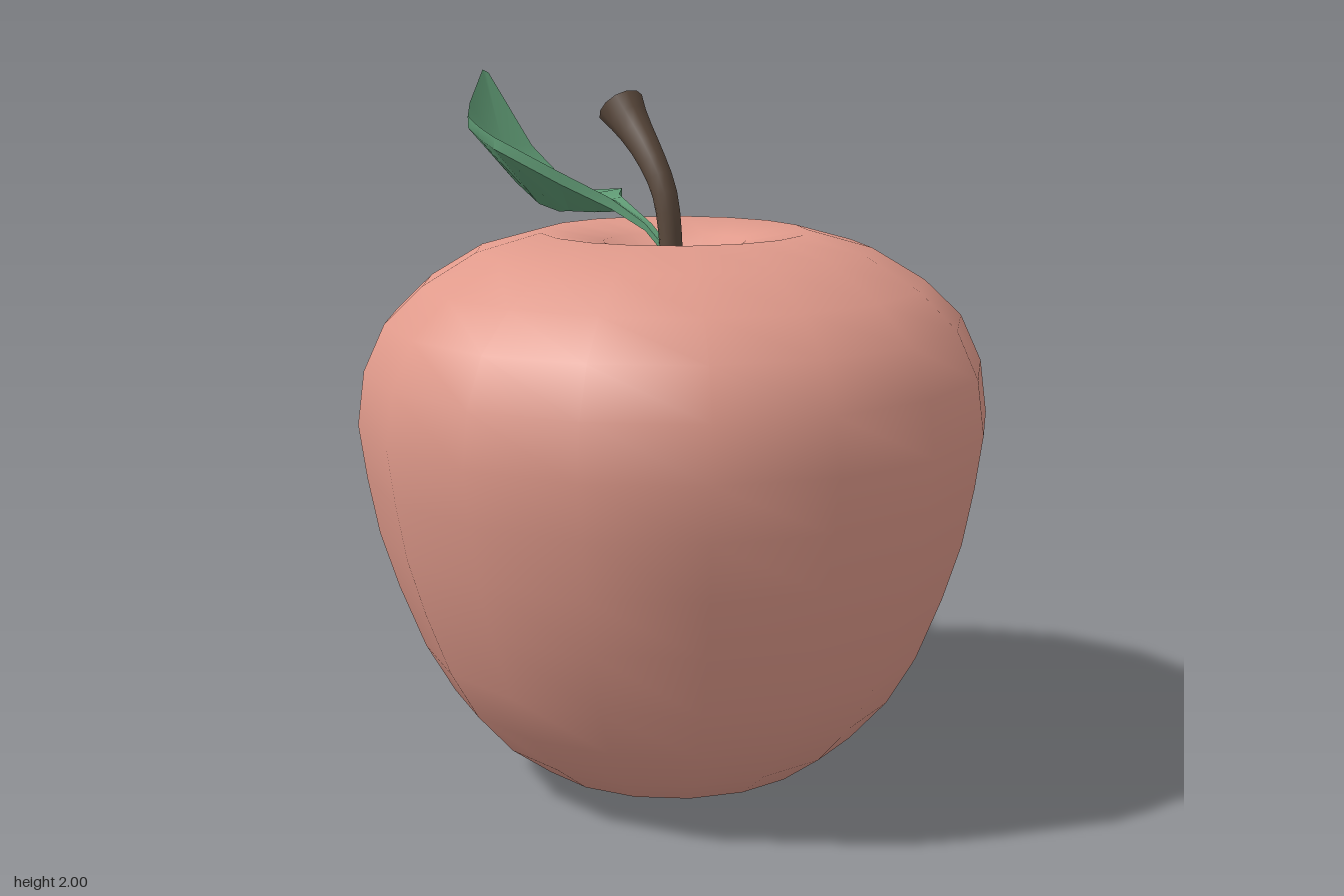
import * as THREE from 'three';
import { toCreasedNormals } from 'three/addons/utils/BufferGeometryUtils.js';

function addMesh(group, name, geometry, color) {
  const material = new THREE.MeshStandardMaterial({ color });
  const mesh = new THREE.Mesh(geometry, material);
  mesh.name = name;
  group.add(mesh);
  return mesh;
}

// Fruit: 17-sided lathe, from the underside up and over into the stem dimple
function fruitGeometry() {
  const profile = [
    [0, 0.005], [0.14, 0.005], [0.28, 0.02], [0.415, 0.06], [0.535, 0.15],
    [0.64, 0.27], [0.72, 0.41], [0.79, 0.59], [0.84, 0.75], [0.87, 0.91],
    [0.89, 1.06], [0.87, 1.21], [0.81, 1.34], [0.705, 1.44], [0.555, 1.53],
    [0.375, 1.58], [0.2, 1.55], [0.09, 1.45], [0, 1.39],
  ].map(([r, y]) => new THREE.Vector2(r, y));
  return new THREE.LatheGeometry(profile, 17, -0.02);
}

// Stem: bent tube whose rings are scaled so that it flares at the top
const stemPath = new THREE.CatmullRomCurve3([
  new THREE.Vector3(-0.02, 1.38, 0.03),
  new THREE.Vector3(-0.025, 1.58, 0.022),
  new THREE.Vector3(-0.033, 1.69, 0.002),
  new THREE.Vector3(-0.05, 1.79, -0.058),
  new THREE.Vector3(-0.075, 1.915, -0.178),
]);
const stemRadius = (t) => 0.029 + 0.011 * t + 0.028 * t ** 6;

function stemGeometry(steps, sides) {
  const geometry = new THREE.TubeGeometry(stemPath, steps, 1, sides);
  const pos = geometry.attributes.position;
  const v = new THREE.Vector3();
  for (let i = 0; i < pos.count; i++) {
    const t = Math.floor(i / (sides + 1)) / steps;
    const centre = stemPath.getPointAt(t);
    v.fromBufferAttribute(pos, i).sub(centre).multiplyScalar(stemRadius(t)).add(centre);
    pos.setXYZ(i, v.x, v.y, v.z);
  }
  geometry.computeVertexNormals();
  return geometry;
}

// Leaf: folded cross-sections (left edge, midrib, right edge) lofted backwards
function leafGeometry() {
  // z, thickness, left x/y, midrib x/y, right x/y
  const rows = [
    [0.0, 0.02, -0.045, 1.55, -0.035, 1.55, -0.025, 1.55],
    [-0.06, 0.02, -0.06, 1.595, -0.05, 1.595, -0.04, 1.595],
    [-0.22, 0.03, -0.09, 1.655, -0.07, 1.645, -0.05, 1.655],
    [-0.32, 0.035, -0.20, 1.725, -0.09, 1.64, -0.01, 1.655],
    [-0.43, 0.035, -0.33, 1.81, -0.12, 1.635, 0.055, 1.66],
    [-0.48, 0.035, -0.335, 1.82, -0.13, 1.63, 0.07, 1.655],
    [-0.58, 0.035, -0.34, 1.845, -0.15, 1.645, 0.04, 1.64],
    [-0.70, 0.035, -0.325, 1.87, -0.17, 1.70, -0.03, 1.69],
    [-0.78, 0.035, -0.285, 1.905, -0.18, 1.78, -0.08, 1.77],
    [-0.90, 0.03, -0.19, 2.0, -0.18, 1.995, -0.17, 1.99],
  ];
  const positions = [];
  const index = [];
  for (const [z, t, lx, ly, mx, my, rx, ry] of rows) {
    positions.push(lx, ly, z, mx, my, z, rx, ry, z);
    positions.push(rx, ry - t, z, mx, my - t, z, lx, ly - t, z);
  }
  for (let i = 0; i < rows.length - 1; i++) {
    for (let j = 0; j < 6; j++) {
      const a = i * 6 + j, b = i * 6 + ((j + 1) % 6);
      index.push(a, b, a + 6, b, b + 6, a + 6);
    }
  }
  // Close the tip
  const e = (rows.length - 1) * 6;
  index.push(e, e + 2, e + 3, e, e + 3, e + 5);
  const geometry = new THREE.BufferGeometry();
  geometry.setAttribute('position', new THREE.Float32BufferAttribute(positions, 3));
  geometry.setIndex(index);
  return toCreasedNormals(geometry, Math.PI / 4);
}

export function createModel() {
  const model = new THREE.Group();
  model.name = 'apple';

  addMesh(model, 'fruit', fruitGeometry(), 0xe09a8b);

  const stem = new THREE.Group();
  stem.name = 'stem';
  model.add(stem);
  addMesh(stem, 'stemStalk', stemGeometry(12, 12), 0x5c4a3d);

  // Flat cut end of the stem
  const cap = addMesh(stem, 'stemEnd', new THREE.CircleGeometry(stemRadius(1), 12), 0x5c4a3d);
  cap.position.copy(stemPath.getPointAt(1));
  cap.quaternion.setFromUnitVectors(new THREE.Vector3(0, 0, 1), stemPath.getTangentAt(1));

  addMesh(model, 'leaf', leafGeometry(), 0x5f9a74);
  return model;
}
